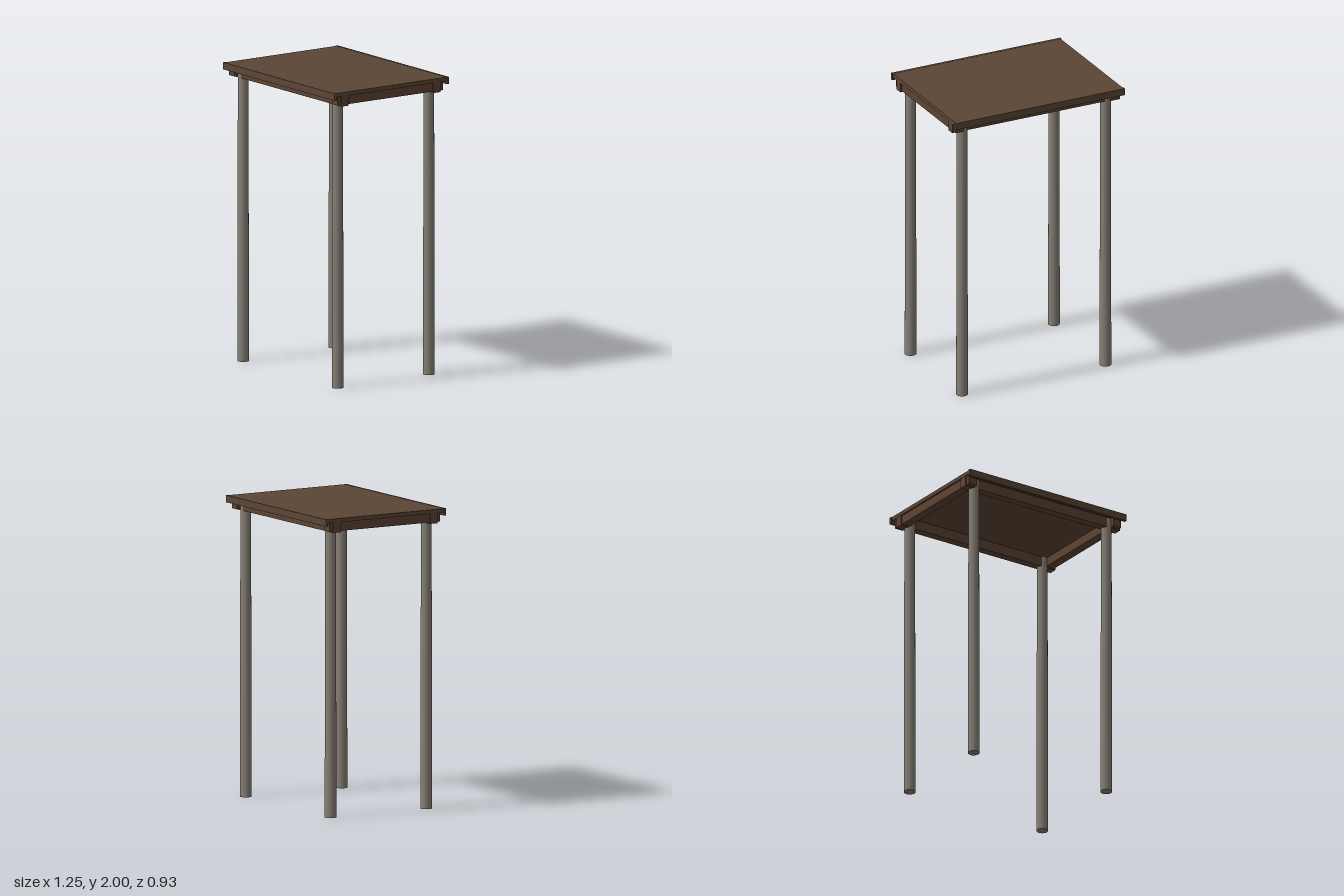
import * as THREE from 'three';

export function createModel() {
  const model = new THREE.Group();
  model.name = 'shelter';

  const roofBrown = new THREE.MeshStandardMaterial({ name: 'roof brown', color: 0x5a4636 });
  const beamBrown = new THREE.MeshStandardMaterial({ name: 'beam brown', color: 0x5c4333 });
  const postGrey = new THREE.MeshStandardMaterial({ name: 'post grey', color: 0x857f75 });

  // Box given by its centre in x and z and its vertical range
  function box(name, material, width, depth, bottom, top, x = 0, z = 0) {
    const mesh = new THREE.Mesh(new THREE.BoxGeometry(width, top - bottom, depth), material);
    mesh.name = name;
    mesh.position.set(x, (bottom + top) / 2, z);
    model.add(mesh);
  }

  // Flat roof deck
  box('roofDeck', roofBrown, 1.24, 0.9, 1.973, 1.999);

  const postHeight = 1.973;
  const postGeometry = new THREE.CylinderGeometry(0.035, 0.039, postHeight, 24);

  for (const side of [-1, 1]) {
    // Fascia boards along the front and back edges
    box('fasciaBoard', roofBrown, 1.25, 0.018, 1.953, 2, 0, side * 0.456);
    // Long beams, lower and longer than the cross beams they meet
    box('longBeam', beamBrown, 1.236, 0.056, 1.905, 1.973, 0, side * 0.373);
    // Cross beams outside the posts, ends projecting past the long beams
    box('crossBeam', beamBrown, 0.062, 0.856, 1.913, 1.973, side * 0.577, 0);

    // Slightly tapered round posts
    for (const end of [-1, 1]) {
      const post = new THREE.Mesh(postGeometry, postGrey);
      post.name = 'post';
      post.position.set(side * 0.53, postHeight / 2, end * 0.37);
      model.add(post);
    }
  }

  return model;
}
